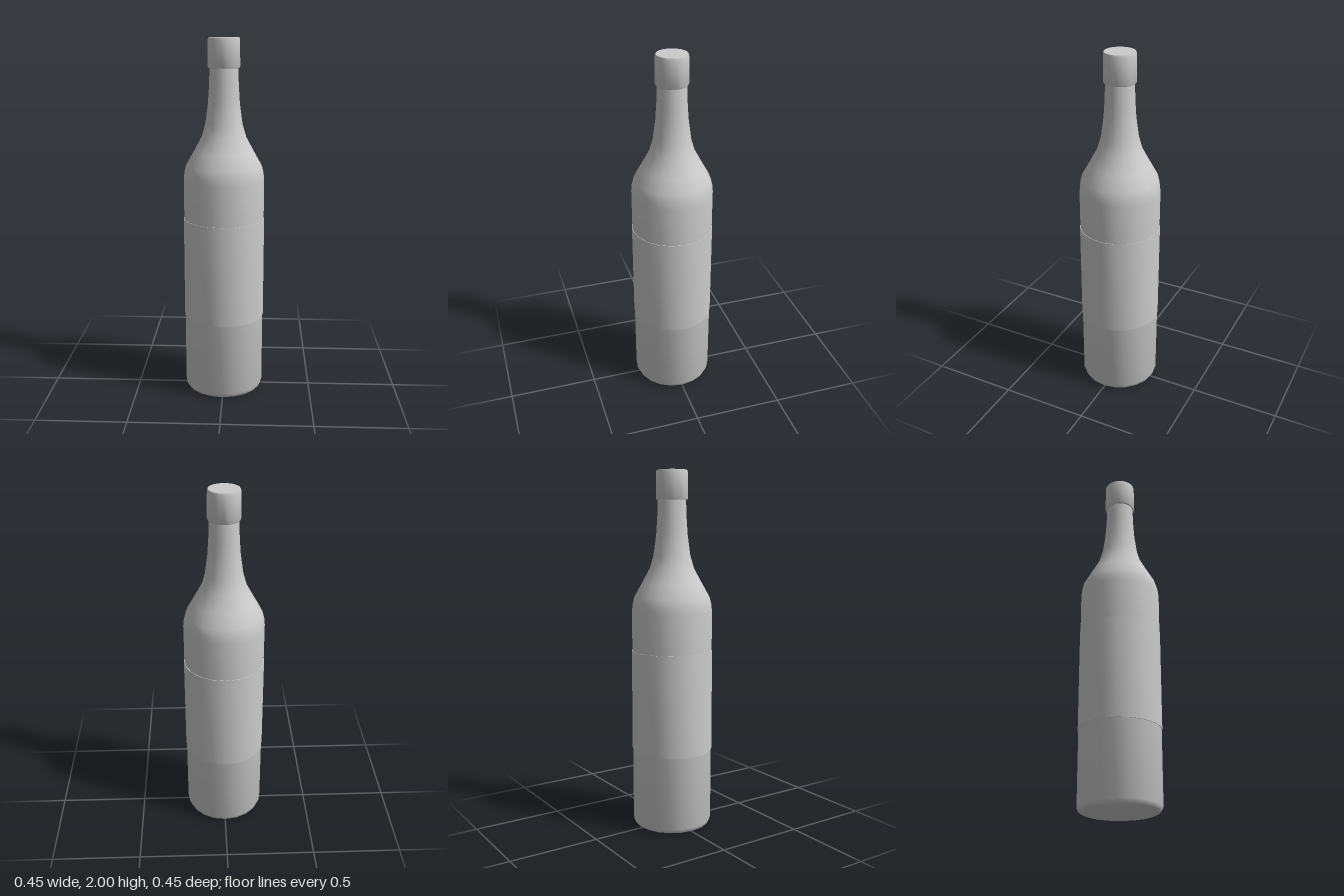
import * as THREE from 'three';
import { toCreasedNormals } from 'three/addons/utils/BufferGeometryUtils.js';

const SIDES = 20;

// Revolves a bottom-to-top list of [radius, height] pairs
function turned(name, profile) {
  const points = profile.map(([r, y]) => new THREE.Vector2(r, y));
  const geometry = toCreasedNormals(new THREE.LatheGeometry(points, SIDES), 0.75);
  const mesh = new THREE.Mesh(geometry, new THREE.MeshStandardMaterial({ color: 0xcccccc }));
  mesh.name = name;
  return mesh;
}

export function createModel() {
  const bottle = new THREE.Group();
  bottle.name = 'bottle';

  // Flat base, straight body, sloped shoulder and slender neck
  bottle.add(turned('glassBody', [
    [0, 0], [0.195, 0], [0.213, 0.008], [0.223, 0.03],
    [0.224, 1.23], [0.22, 1.27], [0.21, 1.31], [0.168, 1.385],
    [0.122, 1.47], [0.102, 1.54], [0.087, 1.65], [0.081, 1.74], [0.077, 1.85],
  ]));

  // Paper label, barely proud of the glass
  bottle.add(turned('label', [
    [0.223, 0.44], [0.2265, 0.44], [0.2265, 1.01], [0.223, 1.01],
  ]));

  // Cap with a small lip under it and a softened top edge
  bottle.add(turned('cap', [
    [0.074, 1.84], [0.084, 1.84], [0.088, 1.847],
    [0.086, 1.99], [0.083, 2], [0, 2],
  ]));

  return bottle;
}
